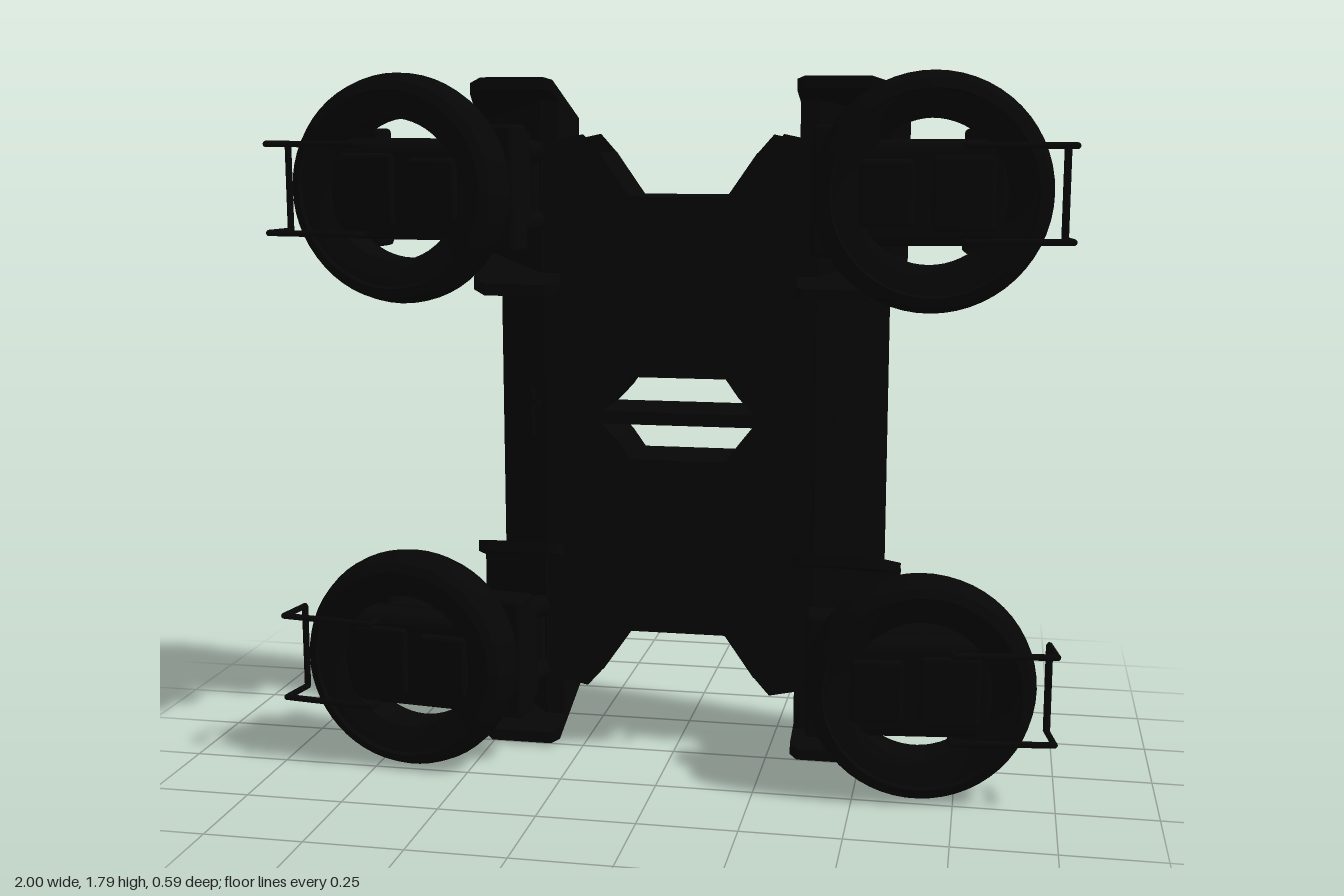
import * as THREE from 'three';
import { RoundedBoxGeometry } from 'three/addons/geometries/RoundedBoxGeometry.js';
import { toCreasedNormals } from 'three/addons/utils/BufferGeometryUtils.js';

const MID = 0.905; // height of the horizontal symmetry plane
const darkShell = new THREE.MeshStandardMaterial({ color: 0x060606, side: THREE.DoubleSide });
darkShell.name = 'darkShell';

function add(parent, name, geometry, x = 0, y = 0, z = 0) {
  const mesh = new THREE.Mesh(geometry, darkShell);
  mesh.name = name;
  mesh.position.set(x, y, z);
  parent.add(mesh);
  return mesh;
}
const box = (parent, name, w, h, d, x, y, z) => add(parent, name, new THREE.BoxGeometry(w, h, d), x, y, z);
const block = (parent, name, w, h, d, x, y, z) => add(parent, name, new RoundedBoxGeometry(w, h, d, 2, 0.012), x, y, z);
const toV2 = list => list.map(p => new THREE.Vector2(...p));

// Wall through the hull's depth, between two points of the front outline
function depthWall(parent, name, a, b) {
  const dx = b[0] - a[0], dy = b[1] - a[1];
  const m = box(parent, name, Math.hypot(dx, dy), 0.008, 0.205, (a[0] + b[0]) / 2, (a[1] + b[1]) / 2, -0.165);
  m.rotation.z = Math.atan2(dy, dx);
}

// Thin upright wall from a to b (x, z), with its own height range at each end
function uprightWall(parent, name, a, b, range) {
  const run = Math.hypot(b[0] - a[0], b[1] - a[1]);
  const [a0, a1] = range(a[1]), [b0, b1] = range(b[1]);
  const shape = new THREE.Shape(toV2([[0, a0], [run, b0], [run, b1], [0, a1]]));
  const m = add(parent, name, new THREE.ExtrudeGeometry(shape, { depth: 0.006, bevelEnabled: false }), a[0], 0, a[1]);
  m.rotation.y = -Math.atan2(b[1] - a[1], b[0] - a[0]);
}

function rod(parent, name, a, b, r, sides = 12) {
  const p = new THREE.Vector3(...a), q = new THREE.Vector3(...b);
  const m = add(parent, name, new THREE.CylinderGeometry(r, r, p.distanceTo(q), sides));
  m.position.copy(p).lerp(q, 0.5);
  m.quaternion.setFromUnitVectors(new THREE.Vector3(0, 1, 0), q.sub(p).normalize());
}

// Plate symmetric about both axes, given one quarter of its outline
function plate(quarter, hole) {
  const right = [...quarter, ...quarter.map(([x, y]) => [x, -y]).reverse()];
  const shape = new THREE.Shape(toV2([...right, ...right.map(([x, y]) => [-x, y]).reverse()]));
  shape.holes.push(new THREE.Path(toV2(hole)));
  return new THREE.ShapeGeometry(shape);
}

// Central hull: front and back plates, sloping sides, notches and a window
function makeHull() {
  const hull = new THREE.Group();
  hull.name = 'hull';
  const notch = [[0.13, 0.585], [0.21, 0.70], [0.25, 0.745], [0.32, 0.73]];
  const hex = [[0.13, 0.115], [0.165, 0.065], [0.215, 0.012], [0.215, -0.012], [0.165, -0.065], [0.13, -0.115],
    [-0.13, -0.115], [-0.165, -0.065], [-0.215, -0.012], [-0.215, 0.012], [-0.165, 0.065], [-0.13, 0.115]];
  add(hull, 'frontPlate', plate([...notch, [0.32, 0.84], [0.36, 0.84]], hex), 0, 0, -0.062);
  const back = add(hull, 'backPlate', plate([...notch, [0.32, 0.42], [0.535, 0.42]], hex), 0, 0, -0.27);
  back.rotation.y = Math.PI;
  hex.forEach((p, i) => depthWall(hull, 'windowWall', p, hex[(i + 1) % hex.length]));
  for (const s of [1, -1]) {
    depthWall(hull, 'notchFloor', [-0.13, s * 0.581], [0.13, s * 0.581]);
    for (const t of [1, -1]) depthWall(hull, 'notchSlope', [t * 0.13, s * 0.581], [t * 0.21, s * 0.696]);
    uprightWall(hull, 'sideSlope', [s * 0.36, -0.064], [s * 0.535, -0.268], () => [-0.42, 0.42]);
    // small raised vent on the slope
    const vent = new THREE.Group();
    vent.name = 'sideVent';
    vent.position.set(s * 0.41, 0, -0.118);
    vent.rotation.y = s * 0.862;
    box(vent, 'ventBar', 0.014, 0.13, 0.012, 0, 0, 0);
    box(vent, 'ventBar', 0.08, 0.014, 0.012, 0, 0.03, 0);
    hull.add(vent);
    // raised band across the back
    block(hull, 'backBand', 0.92, 0.125, 0.028, 0, s * 0.353, -0.283);
    box(hull, 'backRib', 0.8, 0.02, 0.008, 0, s * 0.26, -0.27);
  }
  box(hull, 'windowBar', 0.43, 0.034, 0.2, 0, 0, -0.166);
  return hull;
}

// Hood around each wheel mount: slanted top and bottom flaps joined by walls
function makeFender() {
  const fender = new THREE.Group();
  fender.name = 'fender';
  const plan = [[0.315, -0.287], [0.47, -0.287], [0.585, -0.24], [0.54, -0.02], [0.5, 0.02], [0.335, 0.02], [0.315, 0]];
  const flap = (name, base, slope) => {
    const shape = new THREE.Shape(plan.map(([x, z]) => new THREE.Vector2(x, -z)));
    const g = new THREE.ExtrudeGeometry(shape, { depth: 0.03, bevelEnabled: false });
    g.rotateX(-Math.PI / 2);
    const p = g.attributes.position;
    for (let i = 0; i < p.count; i++) p.setY(i, p.getY(i) + base + (p.getZ(i) + 0.285) * slope);
    g.computeVertexNormals();
    add(fender, name, g);
  };
  flap('fenderTop', 0.757, 0.335);
  flap('fenderBottom', 0.42, -0.3);
  const range = z => [0.435 - (z + 0.285) * 0.3, 0.772 + (z + 0.285) * 0.335];
  uprightWall(fender, 'fenderBack', [0.315, -0.286], [0.47, -0.286], range);
  uprightWall(fender, 'fenderChamfer', [0.47, -0.286], [0.582, -0.24], range);
  uprightWall(fender, 'fenderSlope', [0.36, -0.064], [0.582, -0.24], range);
  uprightWall(fender, 'fenderInnerWall', [0.317, -0.062], [0.317, -0.286], range);
  return fender;
}

function makeWheel() {
  const wheel = new THREE.Group();
  wheel.name = 'wheel';
  wheel.position.set(0.661, 0.61, 0.192);
  wheel.rotation.y = 0.115;
  // tire with stepped rim
  const profile = [[0.176, -0.06], [0.2, -0.075], [0.245, -0.08], [0.268, -0.068], [0.28, -0.04], [0.287, -0.01],
    [0.287, 0.01], [0.28, 0.04], [0.268, 0.065], [0.245, 0.076], [0.24, 0.066], [0.205, 0.06], [0.176, 0.045], [0.176, -0.06]];
  const tire = new THREE.LatheGeometry(profile.map(p => new THREE.Vector2(...p)), 56);
  tire.rotateX(Math.PI / 2);
  add(wheel, 'tire', toCreasedNormals(tire, 0.6));
  // hub and its covers
  add(wheel, 'hub', new RoundedBoxGeometry(0.37, 0.25, 0.1, 3, 0.03), 0, 0, -0.005);
  block(wheel, 'hubCover', 0.13, 0.16, 0.026, -0.11, 0, 0.047);
  block(wheel, 'hubCover', 0.15, 0.18, 0.026, 0.07, 0, 0.043);
  // carrier behind the wheel
  block(wheel, 'carrier', 0.46, 0.25, 0.1, -0.01, 0, -0.1);
  block(wheel, 'innerBracket', 0.2, 0.32, 0.1, -0.185, 0, -0.095);
  block(wheel, 'outerBracket', 0.14, 0.3, 0.08, 0.155, 0, -0.095);
  for (const s of [1, -1]) {
    rod(wheel, 'knuckle', [0.22, s * 0.05, -0.09], [0.18, s * 0.05, -0.2], 0.035);
    rod(wheel, 'carrierPin', [0.05, s * 0.06, -0.15], [0.2, s * 0.06, -0.15], 0.025);
  }
  return wheel;
}

function makeSuspension() {
  const arm = new THREE.Group();
  arm.name = 'suspension';
  block(arm, 'armRoot', 0.1, 0.18, 0.14, 0.42, 0.61, -0.09);
  rod(arm, 'armPivot', [0.41, 0.51, 0.02], [0.41, 0.75, 0.02], 0.04, 16);
  for (const s of [1, -1]) {
    rod(arm, 'strut', [0.42, 0.61 + s * 0.06, -0.11], [0.72, 0.61 + s * 0.06, 0.06], 0.027);
    rod(arm, 'link', [0.37, 0.61 + s * 0.09, -0.04], [0.46, 0.61 + s * 0.09, 0.1], 0.03);
  }
  return arm;
}

// Bent guard rails outside the wheel
function makeGuard() {
  const guard = new THREE.Group();
  guard.name = 'guardRail';
  const pts = [[0.975, 0.15], [0.992, 0.25], [0.745, 0.284], [0.74, 0.25]];
  for (const y of [0.5, 0.722]) {
    for (let i = 0; i < 3; i++) {
      const [a, b] = [pts[i], pts[i + 1]];
      rod(guard, 'rail', [a[0], y, a[1]], [b[0], y, b[1]], 0.008, 8);
    }
    for (const p of pts) add(guard, 'railBend', new THREE.SphereGeometry(0.008, 8, 6), p[0], y, p[1]);
  }
  rod(guard, 'railPost', [0.975, 0.5, 0.15], [0.975, 0.722, 0.15], 0.009, 8);
  return guard;
}

export function createModel() {
  const model = new THREE.Group();
  model.name = 'fourWheelChassis';
  const body = new THREE.Group();
  body.name = 'chassis';
  body.position.y = MID;
  body.add(makeHull());
  // four mirrored corners
  for (const sx of [1, -1]) for (const sy of [1, -1]) {
    const corner = new THREE.Group();
    corner.name = `${sy > 0 ? 'upper' : 'lower'}${sx > 0 ? 'Left' : 'Right'}Corner`;
    corner.add(makeFender(), makeWheel(), makeSuspension(), makeGuard());
    corner.scale.set(sx, sy, 1);
    body.add(corner);
  }
  model.add(body);
  return model;
}
